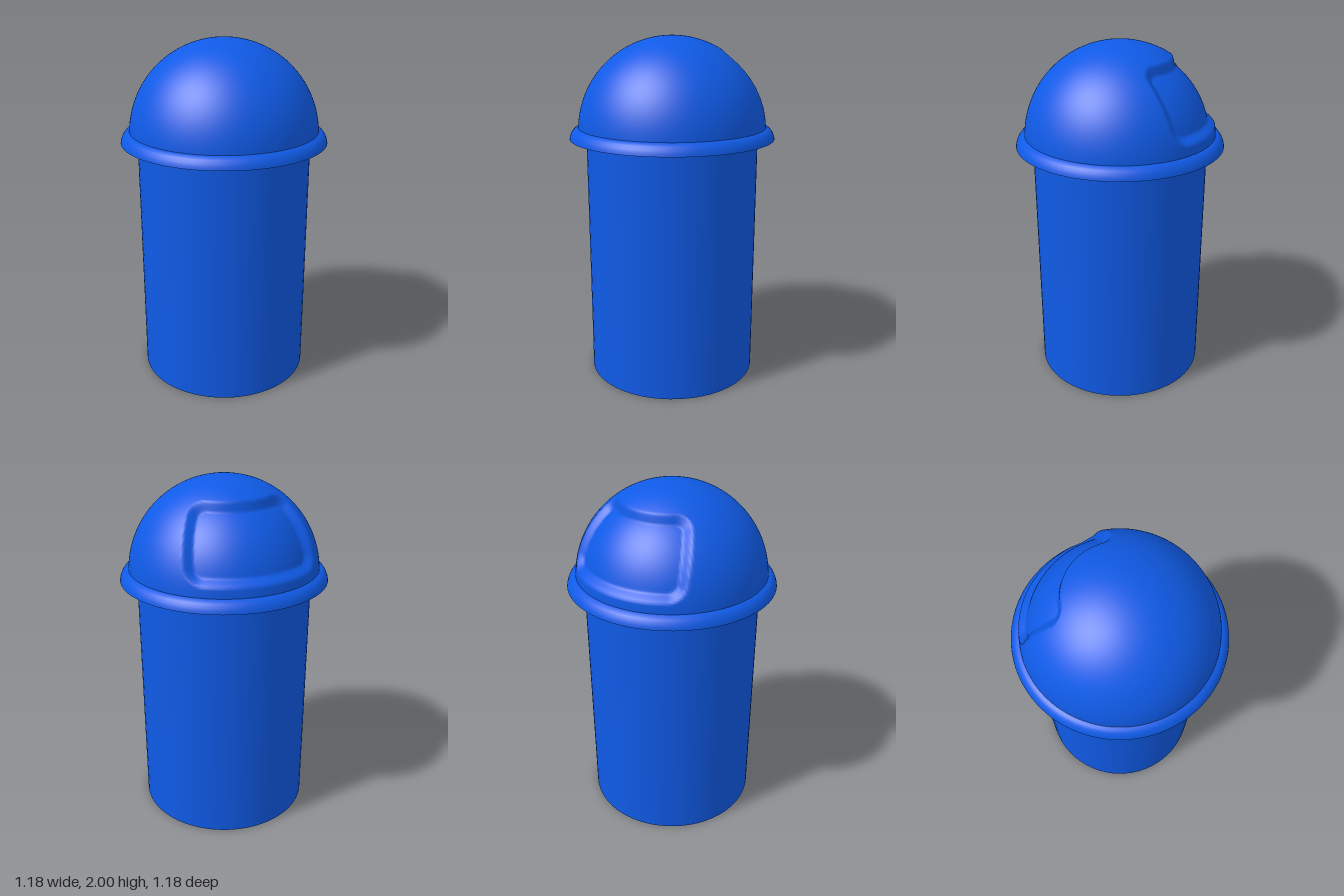
import * as THREE from 'three';
import { mergeVertices } from 'three/addons/utils/BufferGeometryUtils.js';

const DOME_R = 0.54, DOME_Y = 1.46;
const DEG = 180 / Math.PI;

// Hemisphere with a rounded panel pressed into its back
function domeGeometry() {
  let geo = new THREE.SphereGeometry(DOME_R, 240, 76, 0, Math.PI * 2, 0, 87 / DEG);
  geo.deleteAttribute('uv');
  geo.deleteAttribute('normal');
  geo = mergeVertices(geo, 1e-5);
  const pos = geo.attributes.position;
  const v = new THREE.Vector3();
  const corner = 5, bevel = 4.5, depth = 0.038;
  for (let i = 0; i < pos.count; i++) {
    v.fromBufferAttribute(pos, i);
    const el = Math.asin(THREE.MathUtils.clamp(v.y / DOME_R, -1, 1));
    const elDeg = el * DEG;
    const az = Math.abs(Math.atan2(v.x, -v.z)) * DEG;
    // signed distance, in degrees of arc, to the rounded panel outline
    const side = 40 + 7 * (elDeg - 14) / 38;
    const dx = (az - side) * Math.cos(el) + corner;
    const dy = Math.abs(elDeg - 33.5) - 20 + corner;
    const d = Math.hypot(Math.max(dx, 0), Math.max(dy, 0)) + Math.min(Math.max(dx, dy), 0) - corner;
    const t = THREE.MathUtils.clamp(1 - d / bevel, 0, 1);
    v.multiplyScalar(1 - depth * t / DOME_R);
    pos.setXYZ(i, v.x, v.y, v.z);
  }
  geo.computeVertexNormals();
  return geo;
}

export function createModel() {
  const group = new THREE.Group();
  const blue = new THREE.MeshStandardMaterial({ color: 0x0f5ae6, side: THREE.DoubleSide });
  blue.name = 'bin blue';

  const add = (name, geo, y = 0) => {
    const mesh = new THREE.Mesh(geo, blue);
    mesh.name = name;
    mesh.position.y = y;
    group.add(mesh);
  };

  // Cylindrical container
  add('body', new THREE.CylinderGeometry(0.495, 0.495, 1.46, 64), 0.73);

  // Domed lid with recessed flap
  add('domeLid', domeGeometry(), DOME_Y);

  // Flared skirt around the foot of the lid, open underneath
  const skirt = [[0.59, 1.425], [0.587, 1.44], [0.58, 1.457], [0.569, 1.473], [0.555, 1.485], [0.538, 1.49]];
  add('lidSkirt', new THREE.LatheGeometry(skirt.map(p => new THREE.Vector2(...p)), 96));

  return group;
}
